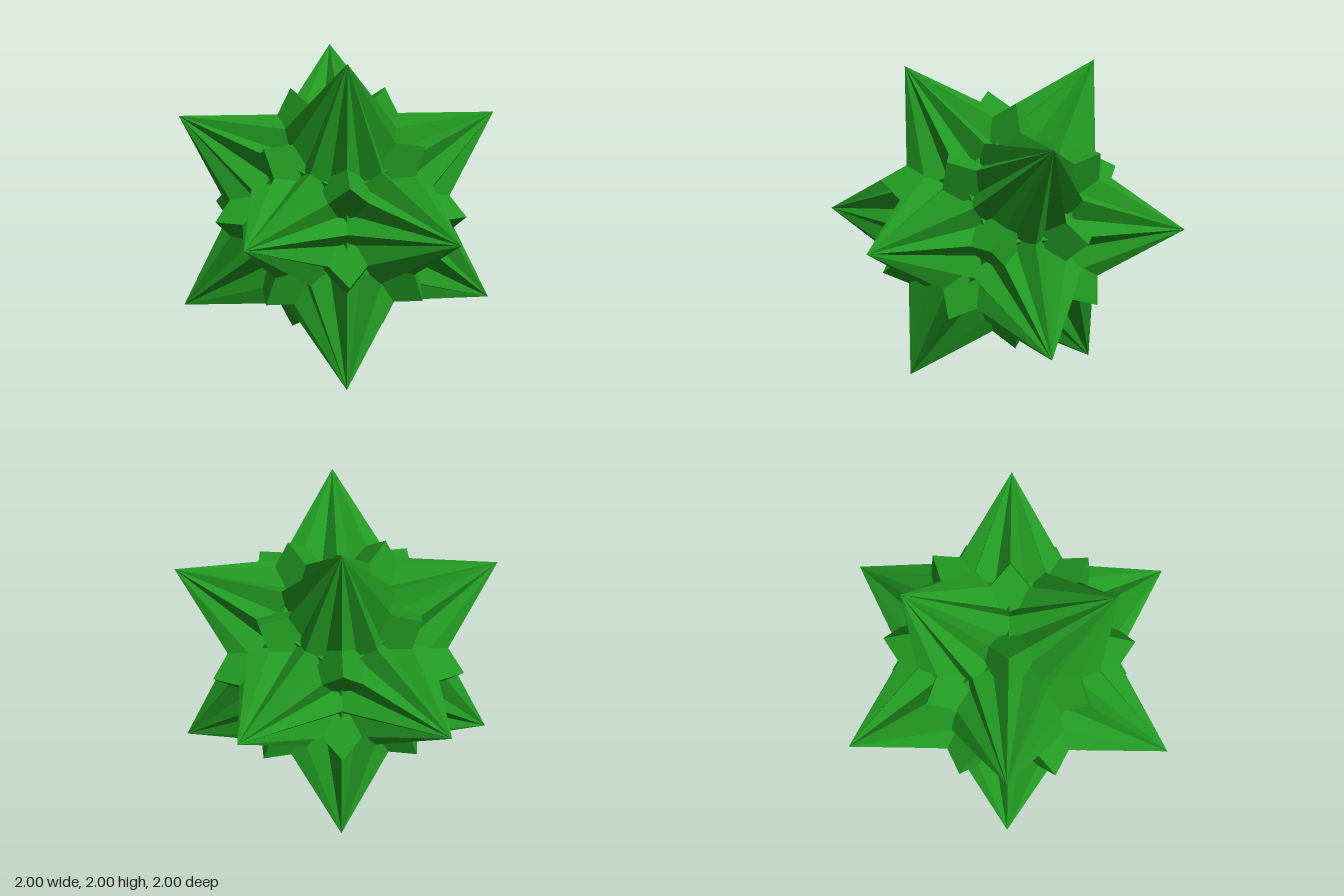
import * as THREE from 'three';

const PHI = (1 + Math.sqrt(5)) / 2;
const SIGNS = [1, -1];

// The 12 points (0, ±a, ±b) and their cyclic permutations
function cyclicPoints(a, b) {
  const points = [];
  for (const i of SIGNS) for (const j of SIGNS) {
    const p = i * a, q = j * b;
    points.push(new THREE.Vector3(0, p, q), new THREE.Vector3(q, 0, p), new THREE.Vector3(p, q, 0));
  }
  return points;
}

export function createModel() {
  const group = new THREE.Group();
  group.name = 'starPolyhedron';

  // 12 long spike tips: corners of an icosahedron
  const spikes = cyclicPoints(1, 1 / PHI);

  // 20 small bump tips: corners of a dodecahedron; t makes all dihedral angles equal
  const n = PHI / (2 - 1 / PHI);
  const t = (1 / PHI) / (n - 1 / PHI ** 2);
  const bumps = cyclicPoints(t / PHI ** 2, t);
  const c = t / PHI;
  for (const x of SIGNS) for (const y of SIGNS) for (const z of SIGNS) {
    bumps.push(new THREE.Vector3(x * c, y * c, z * c));
  }

  // Each bump tip joins three far spikes with three interpenetrating triangles
  const corners = [];
  for (const tip of bumps) {
    const far = spikes.filter((s) => s.dot(tip) < 0 && s.dot(tip) > -0.4);
    for (let k = 0; k < 3; k++) {
      let a = far[k], b = far[(k + 1) % 3];
      const normal = a.clone().sub(tip).cross(b.clone().sub(tip));
      if (normal.dot(tip) < 0) [a, b] = [b, a];
      corners.push(tip, a, b);
    }
  }
  const geometry = new THREE.BufferGeometry().setFromPoints(corners);
  geometry.computeVertexNormals();

  const star = new THREE.Mesh(geometry, new THREE.MeshStandardMaterial({
    color: 0x229922, flatShading: true, side: THREE.DoubleSide,
  }));
  star.name = 'spikedStar';
  star.position.y = 1;
  group.add(star);
  return group;
}
